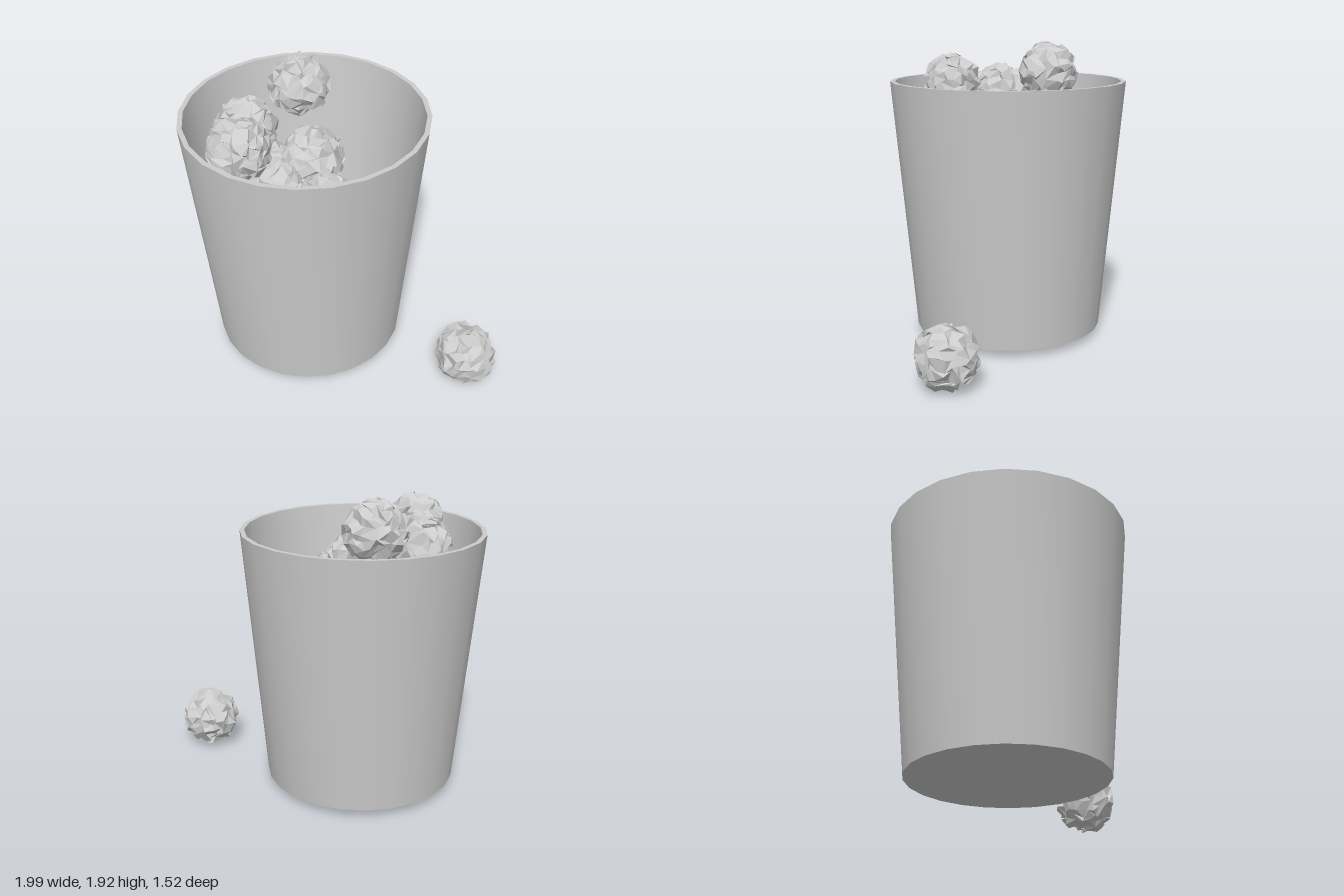
import * as THREE from 'three';
import { toCreasedNormals, mergeVertices } from 'three/addons/utils/BufferGeometryUtils.js';

function seeded(seed) {
  let s = seed;
  return () => {
    s = (s * 16807) % 2147483647;
    return s / 2147483647;
  };
}

// Crumpled ball: a faceted sphere whose shared corners are shoved about
function crumpledBall(seed) {
  const rand = seeded(seed * 7919 + 13);
  for (let i = 0; i < 5; i++) rand();
  let geo = new THREE.IcosahedronGeometry(1, 4);
  geo.deleteAttribute('normal');
  geo.deleteAttribute('uv');
  geo = mergeVertices(geo, 1e-3);
  const pos = geo.attributes.position;
  const v = new THREE.Vector3();
  const shove = new THREE.Vector3();
  for (let i = 0; i < pos.count; i++) {
    v.fromBufferAttribute(pos, i);
    shove.set(rand() - 0.5, rand() - 0.5, rand() - 0.5).multiplyScalar(0.34);
    v.add(shove).normalize().multiplyScalar(0.165 + 0.042 * rand());
    pos.setXYZ(i, v.x, v.y, v.z);
  }
  geo = geo.toNonIndexed();
  geo.computeVertexNormals();
  return geo;
}

export function createModel() {
  const group = new THREE.Group();

  const binGrey = new THREE.MeshStandardMaterial({ color: 0xcccccc });
  binGrey.name = 'binGrey';
  const paperGrey = new THREE.MeshStandardMaterial({
    color: 0xcccccc, flatShading: true, side: THREE.DoubleSide,
  });
  paperGrey.name = 'paperGrey';

  // Tapered bin: underside, outer wall, rim, inner wall, floor
  const profile = [
    [0, 0.045], [0.61, 0.045], [0.76, 1.67], [0.73, 1.67], [0.573, 0.075], [0, 0.075],
  ].map(([r, y]) => new THREE.Vector2(r, y));
  const bin = new THREE.Mesh(
    toCreasedNormals(new THREE.LatheGeometry(profile, 24), Math.PI / 6), binGrey);
  bin.name = 'wasteBin';
  bin.position.x = -0.24;
  group.add(bin);

  // Paper balls: one on the ground, a heap inside the bin
  const balls = [
    ['groundPaperBall', 0.79, 0.195, 0.505],
    ['topPaperBall', -0.29, 1.715, -0.275],
    ['frontPaperBall', -0.6, 1.63, 0.33],
    ['sidePaperBall', -0.6, 1.56, 0.0],
    ['middlePaperBall', -0.19, 1.42, 0.1],
    ['lowerPaperBall', -0.11, 1.26, 0.35],
    ['innerPaperBall', -0.4, 1.32, 0.28],
    ['buriedPaperBall', -0.42, 1.25, 0.02],
  ];
  balls.forEach(([name, x, y, z], i) => {
    const ball = new THREE.Mesh(crumpledBall(i + 1), paperGrey);
    ball.name = name;
    ball.position.set(x, y, z);
    group.add(ball);
  });

  return group;
}
